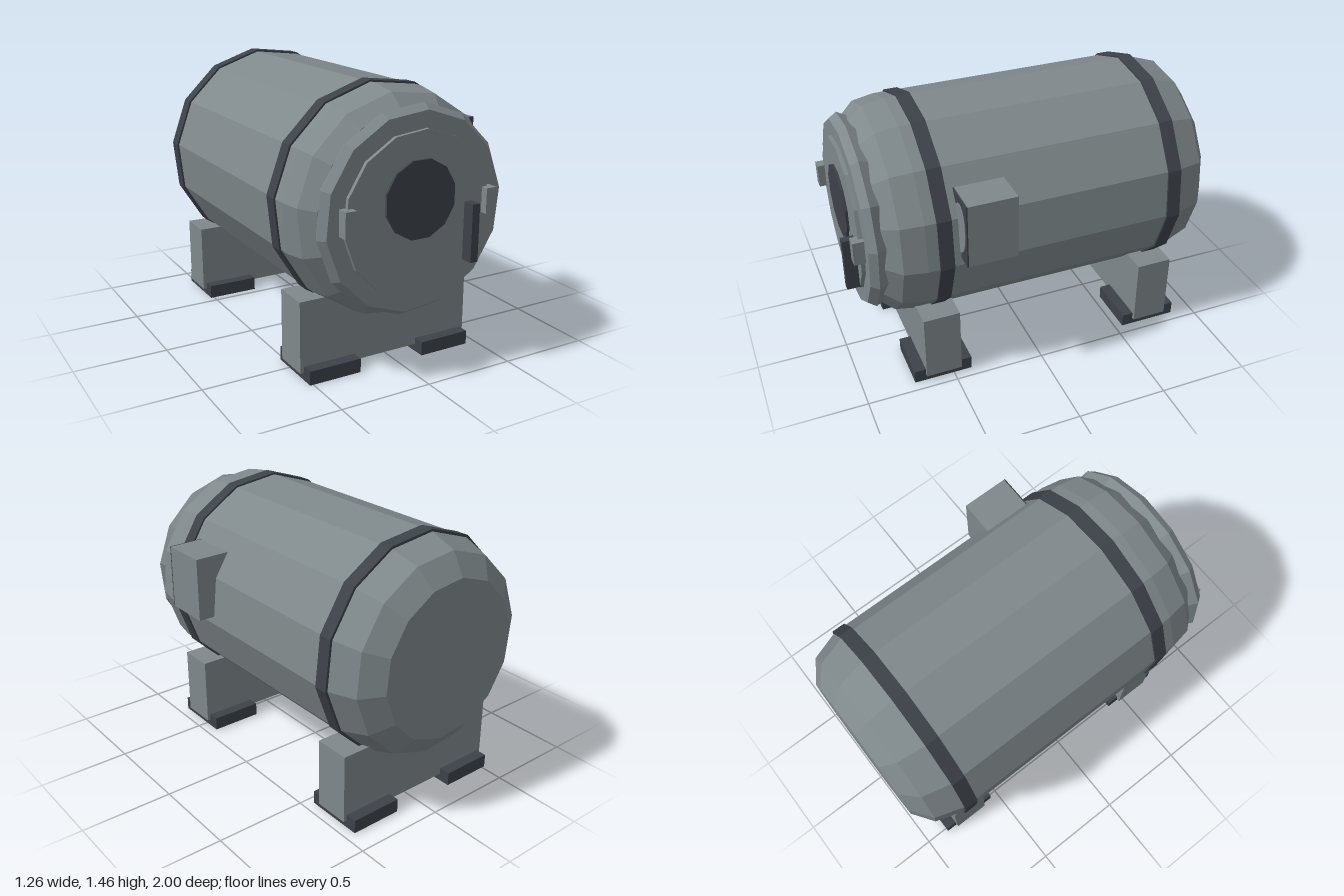
import * as THREE from 'three';

const CX = -0.04, CY = 0.87; // barrel axis

export function createModel() {
  const model = new THREE.Group();
  model.name = 'horizontalTank';

  const steel = new THREE.MeshStandardMaterial({ color: 0x7f888b });
  steel.name = 'steelGrey';
  const dark = new THREE.MeshStandardMaterial({ color: 0x3d4249 });
  dark.name = 'darkGrey';

  function add(name, geometry, material) {
    const mesh = new THREE.Mesh(geometry, material);
    mesh.name = name;
    model.add(mesh);
    return mesh;
  }

  // Box given by its limits on each axis
  function box(name, material, [x0, x1], [y0, y1], [z0, z1]) {
    const g = new THREE.BoxGeometry(x1 - x0, y1 - y0, z1 - z0);
    g.translate((x0 + x1) / 2, (y0 + y1) / 2, (z0 + z1) / 2);
    return add(name, g, material);
  }

  // Faceted solid turned around the z axis; profile holds [radius, z], back to front
  function turned(name, material, profile, sides, turn, cy = CY) {
    const points = profile.map(([r, z]) => new THREE.Vector2(r, z));
    let g = new THREE.LatheGeometry(points, sides);
    g.rotateX(Math.PI / 2);
    g.rotateZ(THREE.MathUtils.degToRad(turn));
    g.translate(CX, cy, 0);
    g = g.toNonIndexed();
    g.computeVertexNormals();
    return add(name, g, material);
  }

  // Barrel with rounded ends
  turned('barrel', steel, [
    [0, -1], [0.422, -1], [0.535, -0.92], [0.588, -0.76],
    [0.588, 0.64], [0.567, 0.76], [0.5, 0.835], [0, 0.86],
  ], 14, 6);

  // Straps around the barrel
  for (const [z0, z1] of [[0.505, 0.58], [-0.77, -0.695]]) {
    turned('strap', dark, [[0.57, z0], [0.598, z0], [0.598, z1], [0.57, z1]], 14, 6);
  }

  // Front door, its raised plate and the round window
  turned('door', steel, [[0, 0.79], [0.485, 0.79], [0.527, 0.87], [0.497, 0.912], [0, 0.912]], 14, -6);
  turned('doorPlate', steel, [[0.412, 0.9], [0.412, 0.933], [0, 0.933]], 14, -6);
  turned('doorWindow', dark, [[0.2, 0.92], [0.2, 0.946], [0, 0.946]], 12, 15, 0.945);

  // Door hinges and handle
  box('hinge', steel, [-0.468, -0.41], [0.825, 0.955], [0.9, 0.972]);
  box('hinge', steel, [0.328, 0.386], [0.825, 0.955], [0.9, 0.972]);
  box('handle', dark, [0.224, 0.267], [0.597, 0.895], [0.92, 1]);

  // Control box on the side with a dark face and an oval dial
  box('controlBox', steel, [0.435, 0.63], [0.842, 1.19], [0.2, 0.46]);
  box('controlFace', dark, [0.435, 0.63], [0.842, 1.19], [0.46, 0.467]);
  const dial = new THREE.CylinderGeometry(1, 1, 0.004, 24);
  dial.rotateX(Math.PI / 2);
  dial.scale(0.083, 0.138, 1);
  dial.translate(0.533, 1.016, 0.469);
  add('controlDial', dial, steel);

  // Two saddles, each on a pair of pads
  for (const z of [0.56, -0.708]) {
    box('saddle', steel, [-0.54, 0.46], [0.04, 0.423], [z - 0.1, z + 0.1]);
    for (const x of [-0.373, 0.295]) {
      box('footPad', dark, [x - 0.146, x + 0.146], [0, 0.075], [z - 0.163, z + 0.163]);
    }
  }

  return model;
}
